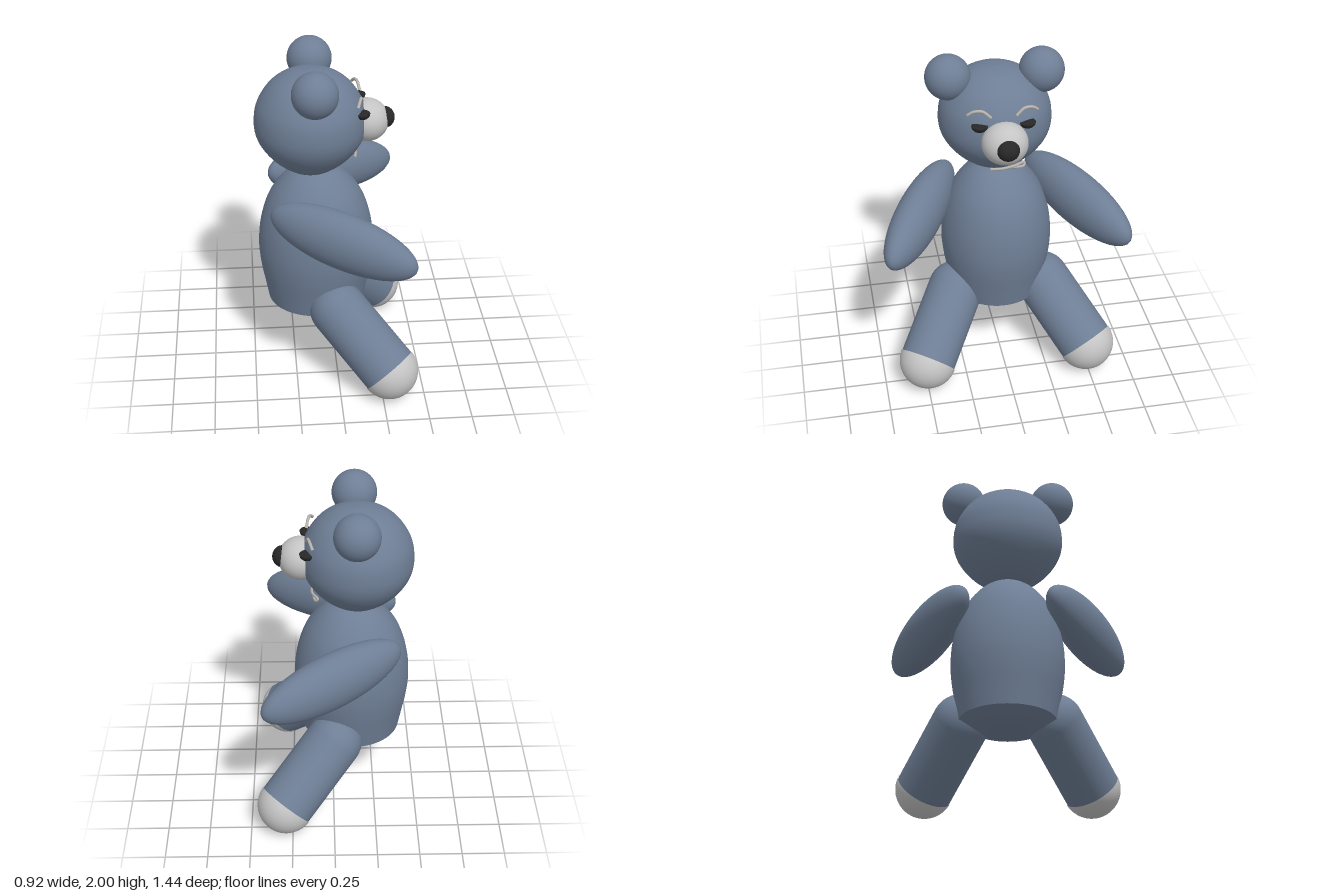
import * as THREE from 'three';

// Seated toy bear; its face points along +x, sides mirror across z
export function createModel() {
  const group = new THREE.Group();
  group.name = 'toyBear';

  const material = (name, color) => {
    const m = new THREE.MeshStandardMaterial({ color });
    m.name = name;
    return m;
  };
  const fur = material('blueGreyFur', 0x6e7e95);
  const pale = material('paleGrey', 0xc4c4c4);
  const black = material('black', 0x282828);
  const thread = material('faceThread', 0xb8b3ac);

  const add = (name, geometry, mat, position = [0, 0, 0], scale = [1, 1, 1]) => {
    const mesh = new THREE.Mesh(geometry, mat);
    mesh.name = name;
    mesh.position.set(...position);
    mesh.scale.set(...scale);
    group.add(mesh);
    return mesh;
  };
  const ball = new THREE.SphereGeometry(1, 48, 32);
  const vec = (p) => new THREE.Vector3(...p);
  const curve = (points) => new THREE.CatmullRomCurve3(points.map(vec));

  // Smooth lathe: a spline through [radius, height] points, bottom to top
  const turned = (points, steps = 48) => {
    const spline = new THREE.SplineCurve(points.map((p) => new THREE.Vector2(...p)));
    const profile = spline.getPoints(steps);
    profile.forEach((p) => { p.x = Math.max(p.x, 0); });
    return new THREE.LatheGeometry(profile, 56);
  };

  // Torso: egg-shaped side with a shallow rounded base
  add('torso', turned([
    [0.29, 0.44], [0.31, 0.55], [0.333, 0.68], [0.342, 0.8], [0.332, 0.93],
    [0.3, 1.06], [0.25, 1.165], [0.17, 1.26], [0.08, 1.315], [0, 1.33],
  ]), fur, [-0.112, 0, 0], [1, 1, 0.97]);
  add('torsoBase', turned([
    [0, 0.372], [0.1, 0.378], [0.2, 0.398], [0.29, 0.44],
  ], 16), fur, [-0.112, 0, 0], [1, 1, 0.97]);

  // Head: near sphere with a slightly narrowed jaw
  add('head', turned([
    [0, 1.287], [0.1, 1.298], [0.19, 1.355], [0.26, 1.427], [0.308, 1.51],
    [0.322, 1.6], [0.302, 1.71], [0.228, 1.822], [0.12, 1.89], [0, 1.91],
  ]), fur, [-0.14, 0, 0], [1, 1, 1.02]);

  // Muzzle and nose
  add('muzzle', ball, pale, [0.185, 1.592, 0], [0.128, 0.124, 0.132]);
  add('nose', ball, black, [0.283, 1.603, 0], [0.062, 0.063, 0.065]);

  // Half-closed eye: lower half of a ball with a flat lid line
  const eyeProfile = [[0, -1], [0.38, -0.92], [0.7, -0.7], [0.92, -0.38], [1, 0], [0.97, 0.08], [0, 0.2]]
    .map((p) => new THREE.Vector2(...p));
  const eyeGeometry = new THREE.LatheGeometry(eyeProfile, 32);

  const hip = [0, 0.48, 0.27];
  const foot = [0.288, 0.175, 0.49];

  for (const side of [-1, 1]) {
    const label = side < 0 ? 'left' : 'right';
    const flip = ([x, y, z]) => [x, y, z * side];

    add(label + 'Ear', ball, fur, flip([-0.127, 1.869, 0.27]), [0.131, 0.131, 0.131]);
    add(label + 'Eye', eyeGeometry, black, flip([0.145, 1.692, 0.135]), [0.045, 0.036, 0.047]);

    // Arched eyebrow
    const brow = curve([[0.115, 1.75, 0.198], [0.128, 1.774, 0.165], [0.14, 1.777, 0.118],
      [0.15, 1.74, 0.072]].map(flip));
    add(label + 'Eyebrow', new THREE.TubeGeometry(brow, 20, 0.009, 8), thread);

    // Arm: flattened ellipsoid reaching forward and outward
    const arm = add(label + 'Arm', ball, fur, flip([0.012, 1.065, 0.47]), [0.457, 0.17, 0.13]);
    arm.rotation.set(0, -side * 0.517, -0.162, 'YZX');

    // Leg with rounded hip, and a pale hemisphere foot
    const a = vec(flip(hip));
    const b = vec(flip(foot));
    const direction = b.clone().sub(a);
    const length = direction.length();
    const turn = new THREE.Quaternion().setFromUnitVectors(
      new THREE.Vector3(0, 1, 0), direction.normalize());
    const leg = add(label + 'Leg', new THREE.CapsuleGeometry(0.168, length, 16, 40), fur,
      a.clone().add(b).multiplyScalar(0.5).toArray());
    leg.quaternion.copy(turn);
    const footMesh = add(label + 'Foot',
      new THREE.SphereGeometry(0.172, 40, 20, 0, Math.PI * 2, 0, Math.PI / 2), pale, b.toArray());
    footMesh.quaternion.copy(turn);
  }

  // Crooked stitched mouth, doubled back at one end
  const mouth = curve([[0.112, 1.383, 0.07], [0.122, 1.386, 0], [0.118, 1.396, -0.07],
    [0.088, 1.396, -0.132], [0.1, 1.38, -0.125], [0.118, 1.387, -0.05]]);
  add('mouth', new THREE.TubeGeometry(mouth, 40, 0.008, 8), thread);

  return group;
}
